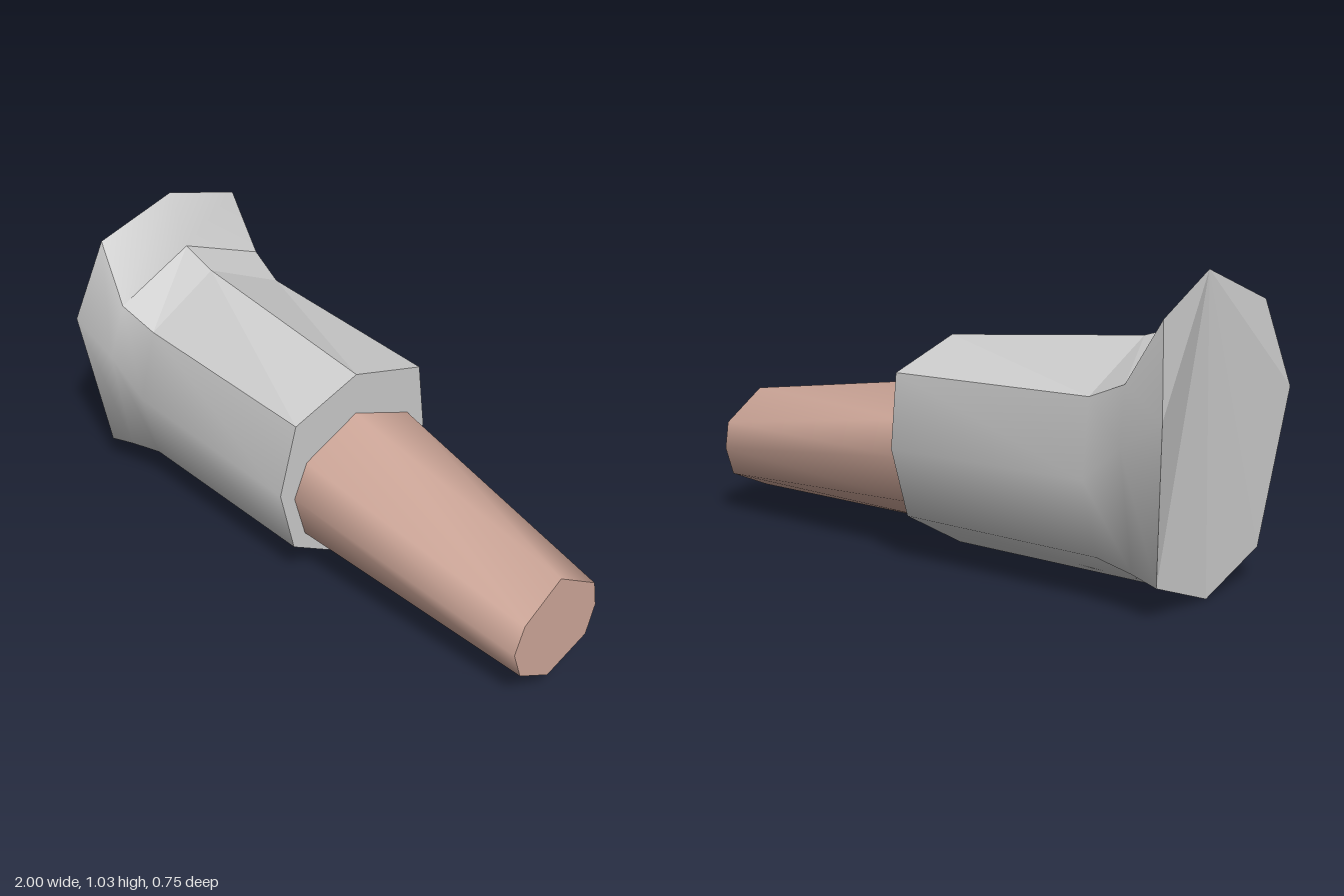
import * as THREE from 'three';
import { mergeVertices } from 'three/addons/utils/BufferGeometryUtils.js';

const grey = new THREE.MeshStandardMaterial({ color: 0xcccccc });
grey.name = 'pale grey';
const pink = new THREE.MeshStandardMaterial({ color: 0xcda698 });
pink.name = 'dusty pink';

// Eight-point rings [x, y, z]: top, down the +z side, bottom, up the -z side
const rim = [
  [-0.925, 1.03, -0.01], [-0.965, 0.917, 0.265], [-1, 0.63, 0.375], [-0.94, 0.11, 0.305],
  [-0.925, 0, 0.02], [-0.94, 0.11, -0.29], [-1, 0.63, -0.37], [-0.965, 0.917, -0.32],
];
const neck = [
  [-0.84, 0.852, -0.01], [-0.84, 0.715, 0.28], [-0.84, 0.53, 0.345], [-0.84, 0.13, 0.285],
  [-0.84, 0.004, 0.02], [-0.84, 0.13, -0.27], [-0.84, 0.53, -0.345], [-0.84, 0.715, -0.325],
];
const shoulder = [
  [-0.7, 0.81, -0.01], [-0.7, 0.66, 0.255], [-0.7, 0.41, 0.322], [-0.7, 0.155, 0.265],
  [-0.7, 0.01, 0.02], [-0.7, 0.155, -0.257], [-0.7, 0.41, -0.333], [-0.7, 0.66, -0.305],
];
const mouth = [
  [0.068, 0.74, -0.01], [0.066, 0.648, 0.25], [0.063, 0.4, 0.318], [0.06, 0.16, 0.262],
  [0.058, 0.013, 0.018], [0.06, 0.16, -0.255], [0.063, 0.4, -0.33], [0.066, 0.648, -0.3],
];
const root = [
  [0.06, 0.588, -0.01], [0.06, 0.485, 0.205], [0.06, 0.36, 0.258], [0.06, 0.195, 0.213],
  [0.06, 0.075, 0.015], [0.06, 0.195, -0.21], [0.06, 0.36, -0.27], [0.06, 0.485, -0.25],
];
const tip = [
  [1, 0.45, -0.01], [1, 0.345, 0.14], [1, 0.25, 0.178], [1, 0.148, 0.145],
  [1, 0.075, 0.015], [1, 0.148, -0.155], [1, 0.25, -0.19], [1, 0.345, -0.175],
];

// Turns a list of corners into a mesh with smooth or flat normals
function surface(name, corners, material, smooth) {
  let g = new THREE.BufferGeometry();
  g.setAttribute('position', new THREE.Float32BufferAttribute(corners.flat(), 3));
  if (smooth) g = mergeVertices(g);
  g.computeVertexNormals();
  const mesh = new THREE.Mesh(g, material);
  mesh.name = name;
  return mesh;
}

// Skins neighbouring rings (ordered along +x) over the chosen strips
function skin(name, rings, strips, material, smooth) {
  const corners = [];
  for (let r = 0; r + 1 < rings.length; r++) {
    for (const i of strips) {
      const j = (i + 1) % 8, a = rings[r], b = rings[r + 1];
      corners.push(a[i], a[j], b[j], a[i], b[j], b[i]);
    }
  }
  return surface(name, corners, material, smooth);
}

// Closes a ring, facing +x or -x
function cap(name, ring, material, facingPlusX) {
  const corners = [];
  for (let i = 1; i < 7; i++) {
    corners.push(ring[0], ...(facingPlusX ? [ring[i], ring[i + 1]] : [ring[i + 1], ring[i]]));
  }
  return surface(name, corners, material, false);
}

export function createModel() {
  const model = new THREE.Group();

  // Grey flared sleeve: smooth sides, creased roof panels
  const sleeve = new THREE.Group();
  sleeve.name = 'sleeve';
  sleeve.add(
    skin('sleeveSides', [rim, neck, shoulder, mouth], [1, 2, 3, 4, 5, 6], grey, true),
    skin('flaredLip', [rim, neck], [7, 0], grey, true),
    skin('roofPanels', [neck, shoulder, mouth], [7, 0], grey, false),
    cap('backFace', rim, grey, false),
    cap('mouthFace', mouth, grey, true),
  );

  // Pink tapered stem
  const stem = new THREE.Group();
  stem.name = 'stem';
  stem.add(
    skin('stemSides', [root, tip], [0, 1, 2, 3, 4, 5, 6, 7], pink, true),
    cap('stemEnd', tip, pink, true),
  );

  model.add(sleeve, stem);
  return model;
}
